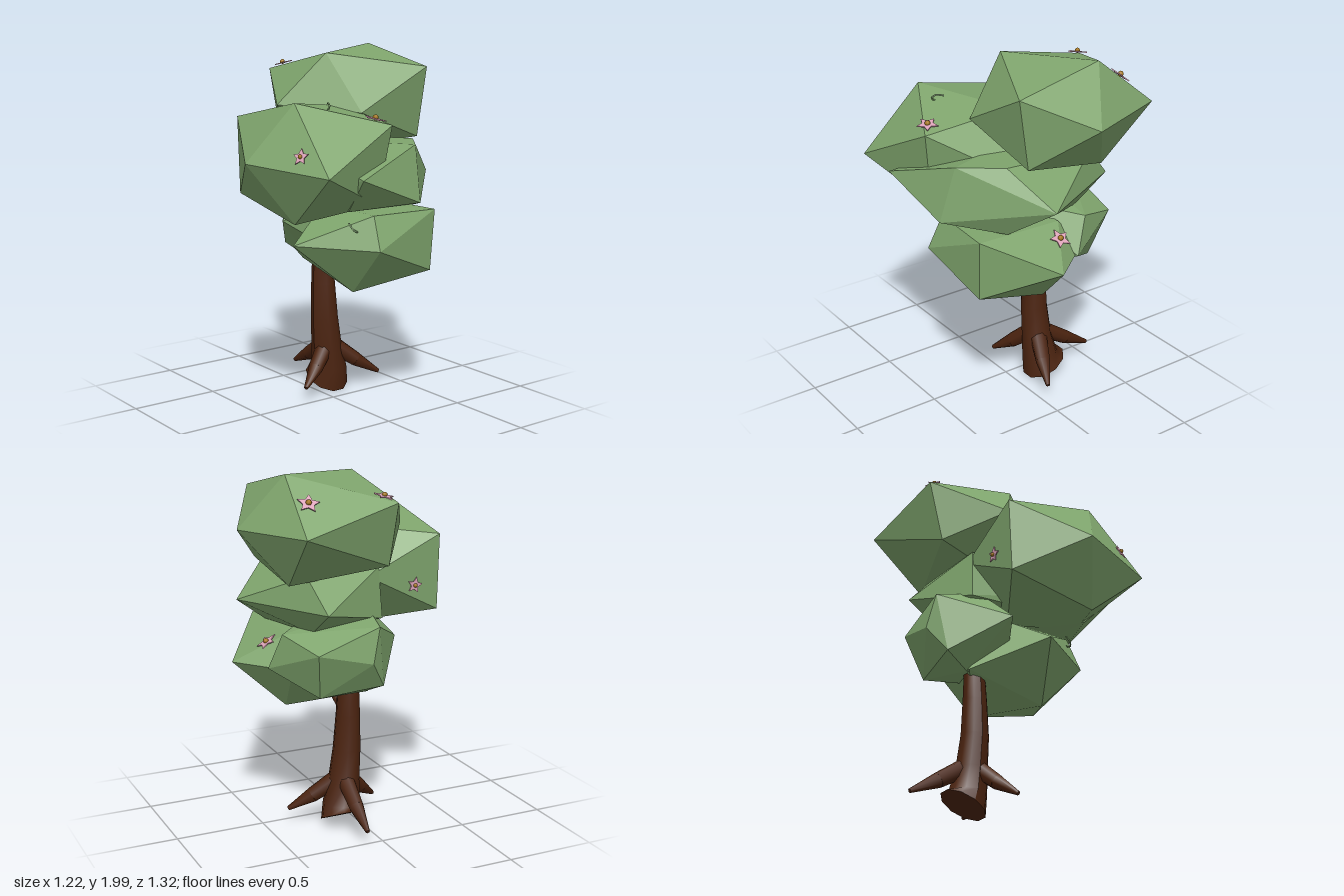
import * as THREE from 'three';
import { ConvexGeometry } from 'three/addons/geometries/ConvexGeometry.js';

const V = (p) => new THREE.Vector3(...p);
const UP = new THREE.Vector3(0, 1, 0);
const FORWARD = new THREE.Vector3(0, 0, 1);

function makeMaterial(name, color) {
  const m = new THREE.MeshStandardMaterial({ color });
  m.name = name;
  return m;
}

// Corners of each faceted clump of leaves
const CLUMPS = {
  topFoliage: [
    [-0.26, 2.0, -0.45], [0, 1.97, 0.05], [0.245, 1.89, -0.46], [-0.12, 1.71, -0.66],
    [-0.61, 1.72, -0.48], [-0.54, 1.86, 0.055], [-0.15, 1.69, 0.27], [0.24, 1.66, -0.01],
    [-0.1, 1.42, 0.03], [-0.3, 1.43, -0.45], [-0.45, 1.52, 0.05], [0.18, 1.5, -0.45],
  ],
  frontFoliage: [
    [-0.27, 1.63, 0.45], [0.27, 1.74, 0.45], [0.13, 1.43, 0.66], [0.61, 1.39, 0.48],
    [0.51, 1.62, 0.0], [0.27, 1.11, 0.45], [-0.25, 1.21, 0.45], [0, 1.68, -0.05],
    [0.45, 1.2, 0.05], [0, 1.12, 0.02], [-0.27, 1.43, 0.02], [0.15, 1.4, -0.2],
  ],
  middleFoliage: [
    [-0.46, 1.29, -0.3], [-0.27, 1.48, 0.08], [-0.3, 1.47, -0.35], [0.25, 1.5, -0.36],
    [0.46, 1.5, -0.2], [0.54, 1.2, -0.17], [0.59, 1.36, 0.25], [0.1, 1.29, -0.59],
    [0.25, 1.13, -0.37], [-0.25, 1.15, -0.3], [-0.28, 1.2, 0.1], [0.4, 1.17, 0.2],
  ],
  lowerLeftFoliage: [
    [0.08, 0.95, 0.33], [0.48, 0.95, 0.05], [0.43, 1.13, -0.37], [0.08, 0.95, -0.63],
    [0.42, 0.79, -0.35], [0.22, 0.68, 0.03], [0, 0.69, -0.35], [0.4, 1.13, 0.03],
    [-0.05, 1.14, 0.03], [-0.08, 1.12, -0.37], [-0.25, 0.79, 0.03], [-0.22, 0.95, -0.4],
  ],
  lowerRightFoliage: [
    [-0.45, 1.2, 0], [-0.48, 1.01, -0.05], [-0.4, 0.86, 0.05], [-0.25, 0.79, 0.0],
    [-0.12, 1.05, 0.26], [-0.2, 1.25, 0.05], [-0.45, 1.08, -0.35], [-0.2, 1.15, -0.45],
    [-0.12, 0.95, -0.5], [-0.35, 0.82, -0.3], [0.05, 0.8, -0.1], [0.1, 1.2, -0.1],
  ],
};

// Blossom spots: clump, target point, outward direction, size
const FLOWERS = [
  ['topFoliage', [-0.44, 1.88, -0.4], [0, 1, 0], 0.06],
  ['topFoliage', [-0.48, 1.88, 0], [0, 1, 0], 0.055],
  ['frontFoliage', [0.45, 1.66, 0.07], [0, 1, 0], 0.06],
  ['frontFoliage', [0.42, 1.48, 0.5], [0.2, 0.2, 1], 0.045],
  ['frontFoliage', [-0.27, 1.36, 0.3], [-1, 0, 0], 0.045],
  ['lowerLeftFoliage', [-0.02, 1.08, -0.5], [0, 0.5, -1], 0.06],
];

// Small curled shoots: clump, target point, outward direction
const SHOOTS = [
  ['lowerLeftFoliage', [0.33, 1.04, 0.08], [0.1, 0.4, 1]],
  ['frontFoliage', [0.28, 1.68, 0.25], [0, 1, 0]],
];

// Ring-by-ring trunk with a flared, slanting foot
function trunkGeometry() {
  const rings = [ // x, y, z, radius
    [-0.2, 0.07, -0.1, 0.122], [-0.175, 0.14, -0.095, 0.105], [-0.165, 0.27, -0.075, 0.088],
    [-0.16, 0.45, -0.055, 0.078], [-0.165, 0.65, -0.05, 0.068], [-0.17, 0.8, -0.05, 0.06],
    [-0.16, 1.0, -0.05, 0.05],
  ];
  const geo = new THREE.CylinderGeometry(1, 1, 1, 10, rings.length - 1);
  const pos = geo.attributes.position;
  for (let i = 0; i < pos.count; i++) {
    const k = Math.round((pos.getY(i) + 0.5) * (rings.length - 1));
    const [x, y, z, r] = rings[k];
    const slant = k === 0 ? -0.06 * pos.getX(i) : 0;
    pos.setXYZ(i, x + pos.getX(i) * r, y + slant, z + pos.getZ(i) * r);
  }
  geo.computeVertexNormals();
  return geo;
}

// Tapered limb between two points
function limb(from, to, r0, r1, material) {
  const a = V(from), b = V(to), dir = b.clone().sub(a);
  const mesh = new THREE.Mesh(new THREE.CylinderGeometry(r1, r0, dir.length(), 8), material);
  mesh.position.copy(a).add(b).multiplyScalar(0.5);
  mesh.quaternion.setFromUnitVectors(UP, dir.normalize());
  return mesh;
}

// Point and normal on a clump's surface
function surfaceHit(mesh, point, outward) {
  const out = V(outward).normalize();
  const ray = new THREE.Raycaster(V(point).addScaledVector(out, 1), out.clone().negate());
  const hit = ray.intersectObject(mesh)[0];
  return hit ? { point: hit.point, normal: hit.face.normal } : { point: V(point), normal: out };
}

function createFlower(size, petalMat, centreMat) {
  const flower = new THREE.Group();
  const star = new THREE.Shape();
  for (let i = 0; i < 10; i++) {
    const a = (i * Math.PI) / 5 + Math.PI / 2, r = i % 2 ? size * 0.5 : size;
    if (i) star.lineTo(Math.cos(a) * r, Math.sin(a) * r);
    else star.moveTo(Math.cos(a) * r, Math.sin(a) * r);
  }
  const petals = new THREE.Mesh(
    new THREE.ExtrudeGeometry(star, { depth: 0.006, bevelEnabled: false }), petalMat);
  petals.name = 'petals';
  petals.position.z = 0.008;
  const centre = new THREE.Mesh(new THREE.SphereGeometry(size * 0.26, 8, 6), centreMat);
  centre.name = 'flowerCentre';
  centre.position.z = 0.018;
  flower.add(petals, centre);
  return flower;
}

export function createModel() {
  const tree = new THREE.Group();
  tree.name = 'tree';
  const leaf = makeMaterial('leafGreen', 0x7fa56d);
  const bark = makeMaterial('barkBrown', 0x4c2410);
  const petal = makeMaterial('petalPink', 0xdca3b8);
  const pollen = makeMaterial('pollenGold', 0xa8781c);

  // Trunk, stub branch and three spreading roots
  const trunk = new THREE.Mesh(trunkGeometry(), bark);
  trunk.name = 'trunk';
  tree.add(trunk);
  const branch = limb([-0.15, 0.66, -0.06], [-0.05, 0.82, -0.13], 0.03, 0.02, bark);
  branch.name = 'branch';
  tree.add(branch);
  for (const [x, z] of [[-0.52, -0.1], [-0.03, 0.17], [-0.04, -0.36]]) {
    const dx = x + 0.165, dz = z + 0.08;
    const at = (t, y) => [-0.165 + dx * t, y, -0.08 + dz * t];
    const root = new THREE.Group();
    root.name = 'root';
    root.add(limb(at(0.12, 0.27), at(0.55, 0.175), 0.05, 0.042, bark));
    root.add(limb(at(0.55, 0.175), at(1, 0.092), 0.042, 0.012, bark));
    tree.add(root);
  }

  // Foliage clumps
  const clumps = {};
  for (const [name, points] of Object.entries(CLUMPS)) {
    clumps[name] = new THREE.Mesh(new ConvexGeometry(points.map(V)), leaf);
    clumps[name].name = name;
    tree.add(clumps[name]);
  }

  // Blossoms lying on the leaves
  FLOWERS.forEach(([clump, point, outward, size], i) => {
    const hit = surfaceHit(clumps[clump], point, outward);
    const flower = createFlower(size, petal, pollen);
    flower.name = 'flower';
    flower.position.copy(hit.point);
    flower.quaternion.setFromUnitVectors(FORWARD, hit.normal);
    flower.rotateZ(i * 0.9);
    tree.add(flower);
  });

  // Curled shoots
  const curl = new THREE.CatmullRomCurve3([[0, 0, -0.01], [0.025, -0.01, 0.015], [0, 0.0, 0.03], [-0.03, 0.03, 0.025]].map(V));
  for (const [clump, point, outward] of SHOOTS) {
    const hit = surfaceHit(clumps[clump], point, outward);
    const shoot = new THREE.Mesh(new THREE.TubeGeometry(curl, 8, 0.005, 5), leaf);
    shoot.name = 'shoot';
    shoot.position.copy(hit.point);
    shoot.quaternion.setFromUnitVectors(FORWARD, hit.normal);
    tree.add(shoot);
  }
  return tree;
}
